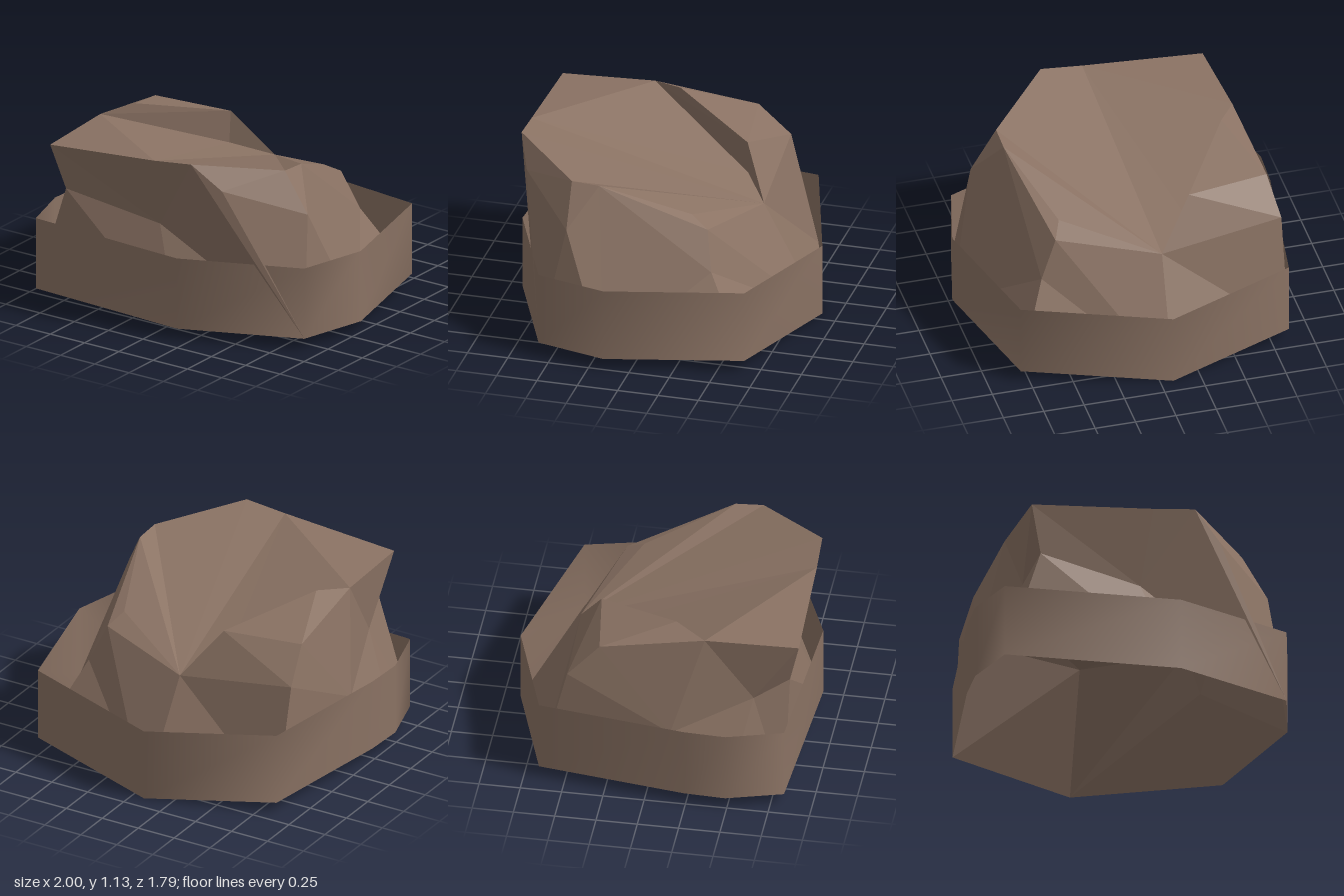
import * as THREE from 'three';

// Ground outline of the band, running clockwise from the back corner: [x, z]
const outline = [[-0.08, -0.9], [0.8, -0.66], [1, 0.16], [0.89, 0.59], [0.17, 0.89],
  [-0.9, 0.83], [-1, 0.49], [-0.99, 0.24], [-0.86, -0.66]];
const baseY = (i) => (i === 0 ? 0 : 0.07);
const bandHeight = 0.45;

// Corners of the rock above its base
const corners = {
  // top rim, with the raised ridge K-M-N-P standing over X
  T1: [0.26, 1.135, 0.87], T2: [-0.75, 1.045, 0.895], T3: [0, 1.105, 0.88],
  K: [-0.78, 1.055, 0.33], M: [-0.66, 1.09, 0.14], N: [-0.32, 0.955, -0.37], P: [-0.11, 0.67, -0.53],
  X: [-0.33, 0.75, -0.37],
  // +x shoulder
  R1: [0.65, 1.04, 0.28], R2: [0.65, 1.05, 0.45], R3: [0.45, 0.825, -0.24],
  R4: [0.81, 0.8, 0.44], R5: [0.5, 0.76, -0.35], R6: [0.43, 0.975, 0.79], G: [0.6, 0.53, -0.4],
  // front undercut
  V: [-0.05, 0.65, 0.75], W: [-0.68, 0.76, 0.83],
  // -x flank
  U: [-0.74, 0.64, 0.62], S: [-0.9, 0.44, 0.14], Q: [-0.82, 0.965, -0.3], L: [-0.86, 0.77, -0.49],
};
outline.forEach(([x, z], i) => { corners['B' + i] = [x, baseY(i), z]; });

// Each fan spreads from its first corner over the following ones
const fans = [
  'P T3 T1 R2 R1 R3', 'T3 P X K T2', // top
  'N M K X P', 'Q K M N L', // ridge
  'R6 R2 T1 B3 R4 R2', 'R4 B3 B2 R1 R2', // +x side
  'R5 R3 R1 G B0', 'G R1 B2 B1 B0', // +x back corner
  'P R3 R5 B0 B8 L N', // back
  'V T1 T3 T2 W B4 B3 T1', 'W T2 U B5 B4', // front
  'U T2 K S B6 B5', 'S K Q L B8 B7 B6', // -x side
];

function rockGeometry() {
  const positions = [];
  for (const fan of fans) {
    const [hub, ...rim] = fan.split(' ').map((name) => corners[name]);
    for (let i = 0; i + 1 < rim.length; i++) positions.push(...hub, ...rim[i], ...rim[i + 1]);
  }
  const g = new THREE.BufferGeometry();
  g.setAttribute('position', new THREE.Float32BufferAttribute(positions, 3));
  g.computeVertexNormals();
  return g;
}

// Open upright wall following the outline, smooth around its corners
function bandGeometry() {
  const positions = [];
  const index = [];
  const n = outline.length;
  outline.forEach(([x, z], i) => {
    positions.push(x, baseY(i), z, x, baseY(i) + bandHeight, z);
    const a = 2 * i;
    const b = 2 * ((i + 1) % n);
    index.push(a, a + 1, b, b, a + 1, b + 1);
  });
  const g = new THREE.BufferGeometry();
  g.setAttribute('position', new THREE.Float32BufferAttribute(positions, 3));
  g.setIndex(index);
  g.computeVertexNormals();
  return g;
}

export function createModel() {
  const model = new THREE.Group();
  model.name = 'boulder';
  const add = (name, geometry, flatShading) => {
    const material = new THREE.MeshStandardMaterial({ color: 0x8a7263, flatShading, side: THREE.DoubleSide });
    const mesh = new THREE.Mesh(geometry, material);
    mesh.name = name;
    model.add(mesh);
  };
  add('rock', rockGeometry(), true);
  add('baseBand', bandGeometry(), false);
  return model;
}
